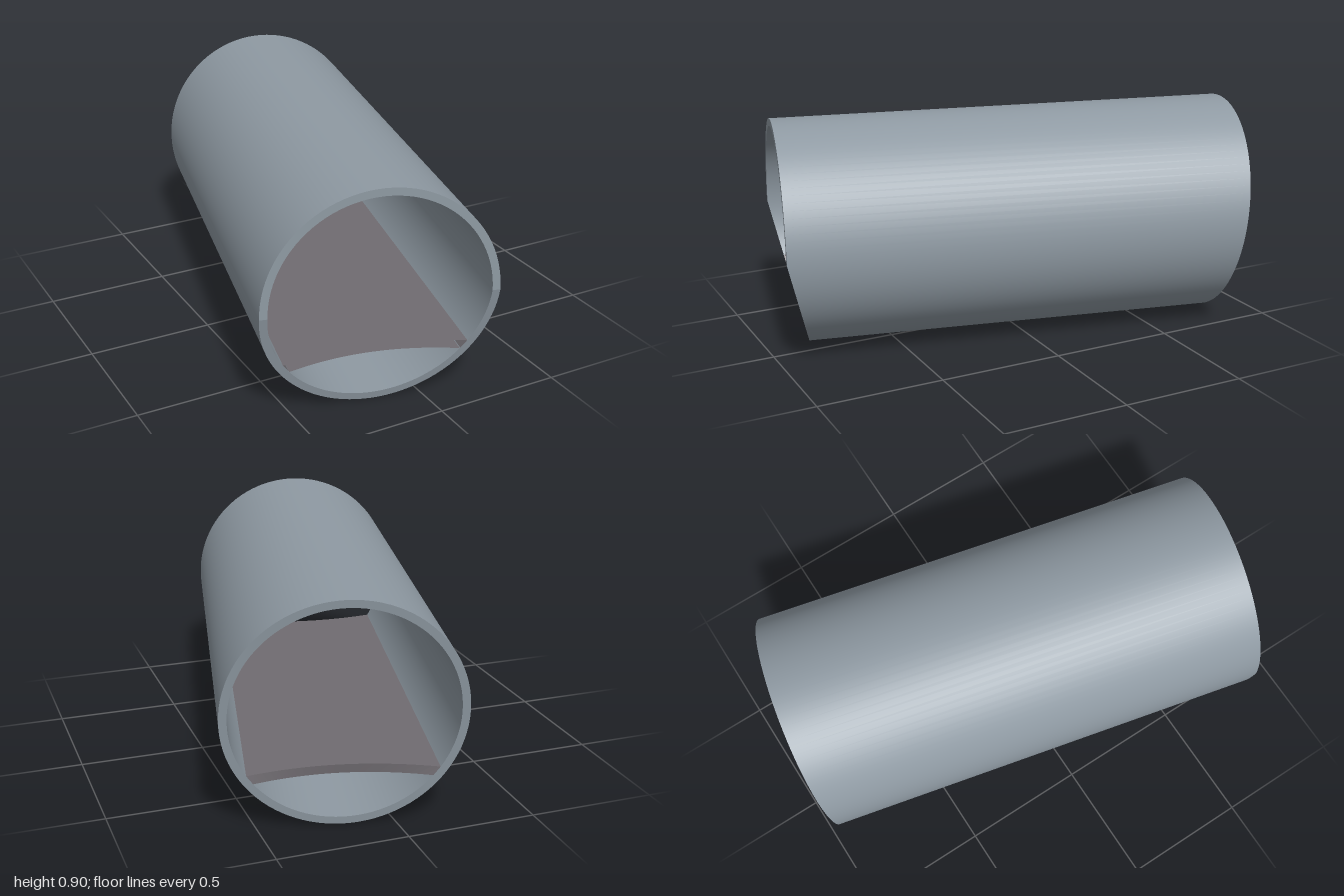
import * as THREE from 'three';

const R = 0.448, INNER = 0.418, SIDES = 96;

// Ends of the tube along its axis, by height above the axis
const frontEnd = (y) => 0.923 + 0.103 * Math.min(0, y / R); // upright above, cut back below
const backEnd = (y) => -0.905 - 0.057 * (y / R);            // one slanted cut

// Move every vertex by a rule
function reshape(geometry, rule) {
  const p = geometry.attributes.position;
  const v = new THREE.Vector3();
  for (let i = 0; i < p.count; i++) {
    rule(v.fromBufferAttribute(p, i));
    p.setXYZ(i, v.x, v.y, v.z);
  }
  return geometry;
}

function wall(radius) {
  const g = new THREE.CylinderGeometry(radius, radius, 2, SIDES, 1, true).rotateX(Math.PI / 2);
  return reshape(g, (v) => { v.z = v.z > 0 ? frontEnd(v.y) : backEnd(v.y); });
}

function rim(end) {
  const g = new THREE.RingGeometry(INNER, R, SIDES, 1);
  if (end === backEnd) g.rotateY(Math.PI);
  const flat = reshape(g, (v) => { v.z = end(v.y); }).toNonIndexed();
  flat.computeVertexNormals();
  return flat;
}

// Floor slab between the walls, with both ends curving inward
function slab() {
  const g = new THREE.BoxGeometry(1, 1, 1, 24, 1, 1);
  const open = g.groups[4]; // the front edge is left open
  const index = Array.from(g.index.array);
  index.splice(open.start, open.count);
  g.setIndex(index);
  g.clearGroups();
  reshape(g, (v) => {
    const u = v.x * 2;
    const recess = 0.06 * (1 - u * u);
    v.y = v.y > 0 ? -0.225 : -0.26;
    v.x = u * Math.sqrt(INNER * INNER - v.y * v.y);
    v.z = v.z > 0 ? frontEnd(v.y) - recess : backEnd(v.y) + recess;
  });
  const flat = g.toNonIndexed();
  flat.computeVertexNormals();
  return flat;
}

export function createModel() {
  const steel = new THREE.MeshStandardMaterial({ color: 0x8f9aa3, side: THREE.DoubleSide });
  steel.name = 'blue grey';
  const floorGrey = new THREE.MeshStandardMaterial({ color: 0x706c71, side: THREE.DoubleSide });
  floorGrey.name = 'warm grey';

  const model = new THREE.Group();
  model.name = 'pipeSection';
  const pipe = new THREE.Group();
  pipe.name = 'pipe';
  const add = (name, geometry, material) => {
    const mesh = new THREE.Mesh(geometry, material);
    mesh.name = name;
    pipe.add(mesh);
  };
  add('outerWall', wall(R), steel);
  add('innerWall', wall(INNER), steel);
  add('frontRim', rim(frontEnd), steel);
  add('backRim', rim(backEnd), steel);
  add('floor', slab(), floorGrey);

  // The pipe lies askew on the ground
  pipe.rotation.y = -0.225;
  pipe.position.y = R;
  model.add(pipe);
  return model;
}
